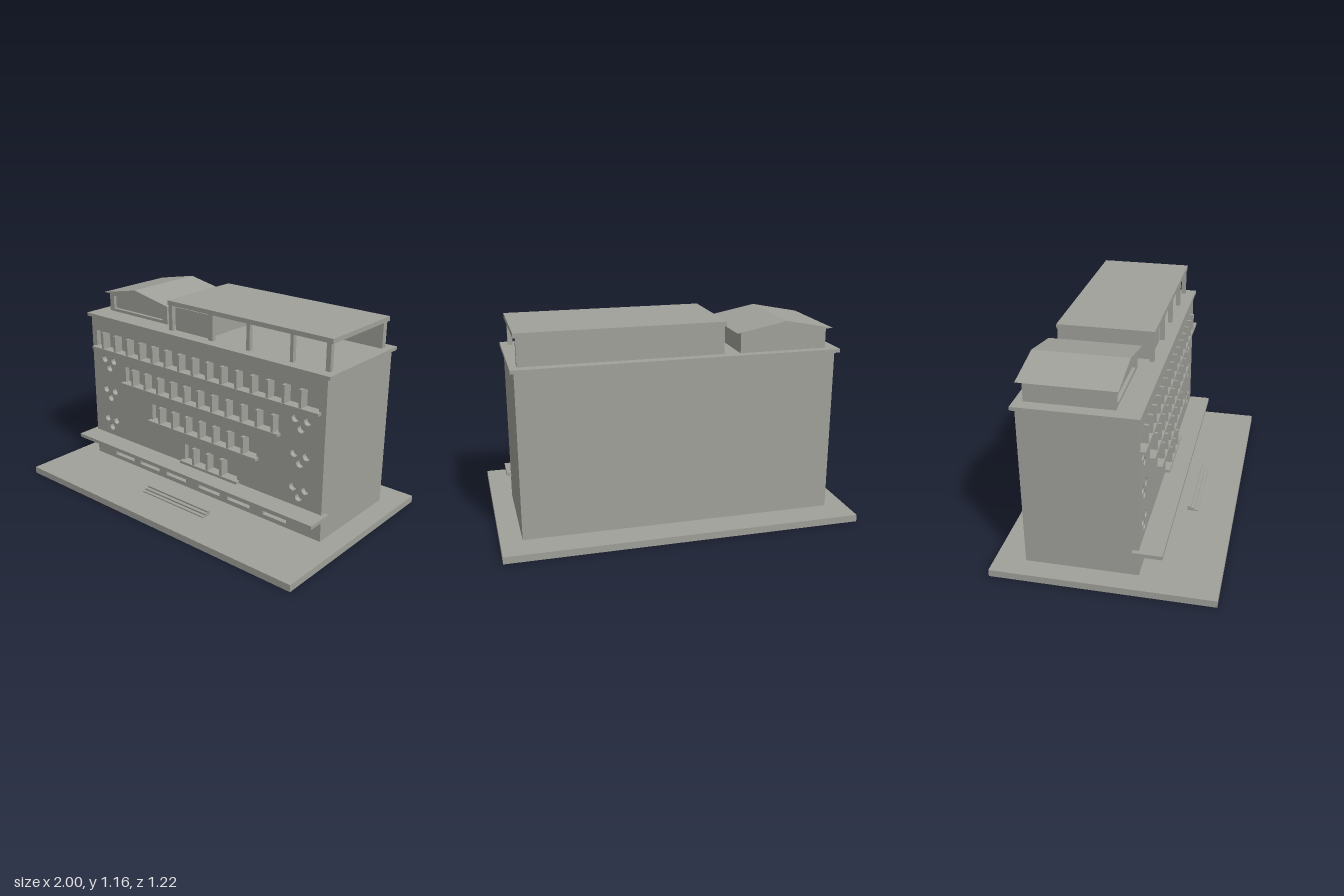
import * as THREE from 'three';

export function createModel() {
  const model = new THREE.Group();
  const concrete = new THREE.MeshStandardMaterial({ color: 0xa0a19a });
  concrete.name = 'concrete grey';

  const add = (name, geometry, parent = model) => {
    const mesh = new THREE.Mesh(geometry, concrete);
    mesh.name = name;
    parent.add(mesh);
    return mesh;
  };
  // box given by its minimum and maximum on each axis
  const box = (name, x0, x1, y0, y1, z0, z1, parent) => {
    const g = new THREE.BoxGeometry(x1 - x0, y1 - y0, z1 - z0);
    g.translate((x0 + x1) / 2, (y0 + y1) / 2, (z0 + z1) / 2);
    return add(name, g, parent);
  };
  const rect = (T, x0, x1, y0, y1) => new T([
    new THREE.Vector2(x0, y0), new THREE.Vector2(x1, y0),
    new THREE.Vector2(x1, y1), new THREE.Vector2(x0, y1),
  ]);
  const group = (name) => {
    const g = new THREE.Group();
    g.name = name;
    model.add(g);
    return g;
  };

  // ground slab and main block
  const FRONT = 0.18, RECESS = 0.15;
  box('groundSlab', -1, 1, 0, 0.04, -0.61, 0.61);
  box('mainBlock', -0.88, 0.88, 0.04, 0.965, -0.44, RECESS);

  // front wall with window bands, portholes and ground floor windows cut out
  const wall = rect(THREE.Shape, -0.88, 0.88, 0.04, 0.965);
  const bands = [
    { x0: -0.84, x1: 0.835, y0: 0.78, y1: 0.882, first: -0.76, fins: 15 },
    { x0: -0.59, x1: 0.585, y0: 0.595, y1: 0.695, first: -0.508, fins: 11 },
    { x0: -0.365, x1: 0.44, y0: 0.407, y1: 0.508, first: -0.284, fins: 7 },
    { x0: -0.1, x1: 0.305, y0: 0.22, y1: 0.322, first: -0.013, fins: 3 },
  ];
  for (const b of bands) wall.holes.push(rect(THREE.Path, b.x0, b.x1, b.y0, b.y1));
  for (const y of [0.706, 0.506, 0.307]) {
    for (const cx of [-0.735, 0.73]) {
      for (const [dx, dy] of [[-0.04, 0], [0.04, 0], [0, -0.052]]) {
        const hole = new THREE.Path();
        hole.absarc(cx + dx, y + dy, 0.023, 0, Math.PI * 2, true);
        wall.holes.push(hole);
      }
    }
  }
  for (const x of [-0.71, -0.487, -0.26, 0.008, 0.232, 0.49]) {
    wall.holes.push(rect(THREE.Path, x, x + 0.166, 0.066, 0.161));
  }
  const wallGeometry = new THREE.ExtrudeGeometry(wall, {
    depth: FRONT - RECESS, bevelEnabled: false, curveSegments: 12,
  });
  add('frontWall', wallGeometry.translate(0, 0, RECESS));

  // sills and upright fins of each window band
  bands.forEach((b, row) => {
    const g = group('windowBand' + (row + 1));
    box('sill', b.x0 - 0.015, b.x1 + 0.015, b.y0 - 0.016, b.y0, FRONT, 0.21, g);
    for (let i = 0; i < b.fins; i++) {
      const x = b.first + i * 0.1067;
      box('fin', x - 0.008, x + 0.008, b.y0, b.y1, RECESS, 0.206, g);
    }
  });

  // entrance canopy and steps
  box('canopy', -0.905, 0.905, 0.178, 0.2, 0.147, 0.308);
  const steps = group('entranceSteps');
  [0.067, 0.057, 0.047].forEach((top, i) => {
    box('step', -0.24, 0.24, 0.04, top, 0.34 + i * 0.02, 0.36 + i * 0.02, steps);
  });

  // roof slab
  const ROOF = 0.985;
  box('roofSlab', -0.905, 0.9, 0.965, ROOF, -0.458, 0.193);

  // open roof pavilion with a back wall, a closed room and front columns
  const pavilion = group('roofPavilion');
  box('pavilionRoof', -0.26, 0.873, 1.136, 1.162, -0.405, 0.138, pavilion);
  box('backWall', -0.25, 0.86, ROOF, 1.136, -0.403, -0.368, pavilion);
  box('room', -0.225, 0.025, ROOF, 1.122, -0.368, 0.108, pavilion);
  for (const [x0, x1] of [[-0.255, -0.228], [0.047, 0.08], [0.32, 0.343], [0.61, 0.63], [0.832, 0.86]]) {
    box('column', x0, x1, ROOF, 1.136, 0.108, 0.133, pavilion);
  }

  // roof hut with a framed recess in front and a low gable roof
  const hut = group('roofHut');
  box('hutBlock', -0.835, -0.34, ROOF, 1.105, -0.41, 0.04, hut);
  const frame = rect(THREE.Shape, -0.835, -0.34, ROOF, 1.105);
  frame.holes.push(rect(THREE.Path, -0.8, -0.38, 1.003, 1.083));
  const frameGeometry = new THREE.ExtrudeGeometry(frame, { depth: 0.02, bevelEnabled: false });
  add('hutFrontFrame', frameGeometry.translate(0, 0, 0.04), hut);
  const gable = new THREE.Shape([
    new THREE.Vector2(-0.866, 1.1), new THREE.Vector2(-0.31, 1.1), new THREE.Vector2(-0.592, 1.154),
  ]);
  const gableGeometry = new THREE.ExtrudeGeometry(gable, { depth: 0.515, bevelEnabled: false });
  add('gableRoof', gableGeometry.translate(0, 0, -0.435), hut);

  return model;
}
